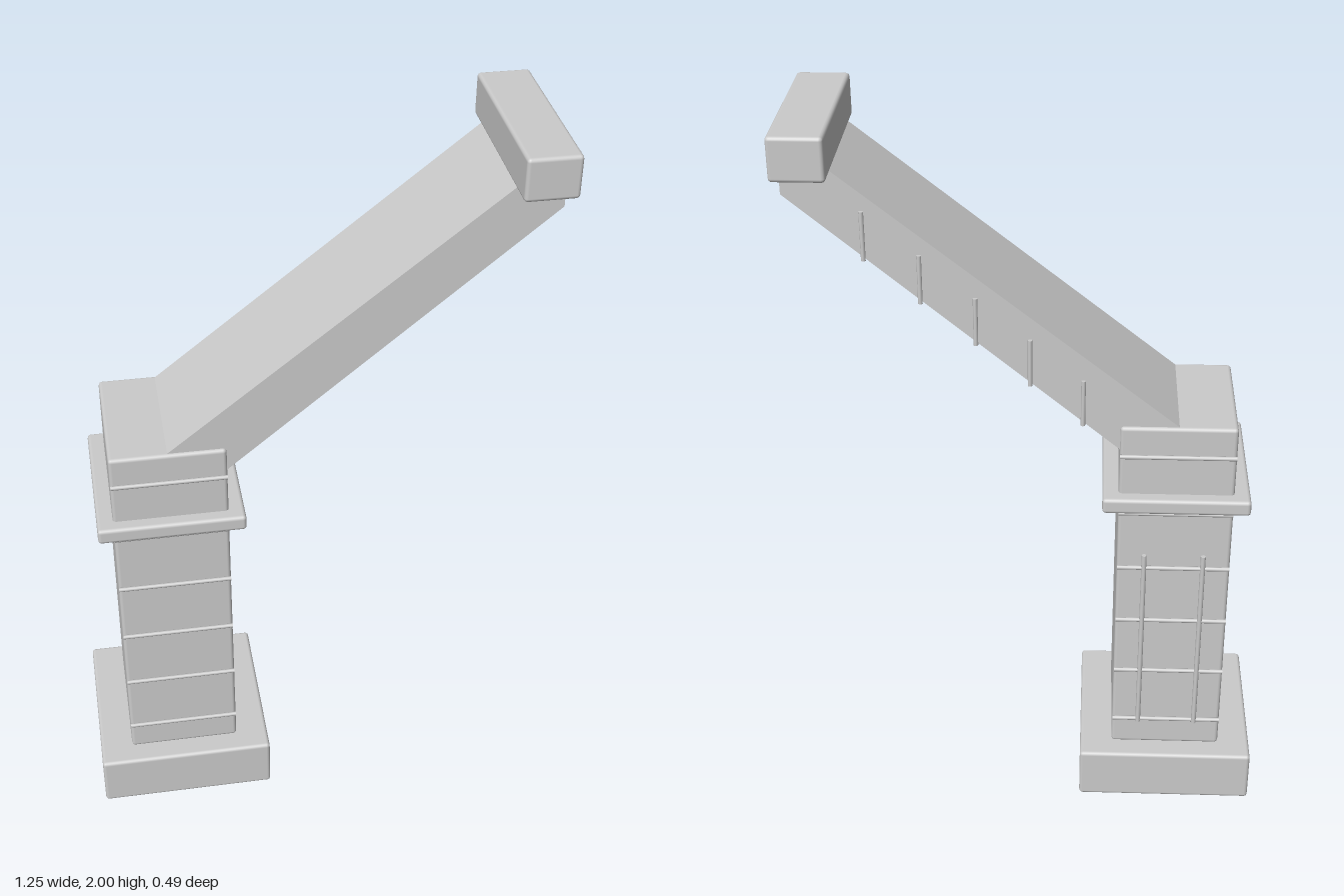
import * as THREE from 'three';
import { RoundedBoxGeometry } from 'three/addons/geometries/RoundedBoxGeometry.js';

export function createModel() {
  const model = new THREE.Group();
  model.name = 'brokenArchPillar';
  const material = new THREE.MeshStandardMaterial({ color: 0xcccccc });
  const columnX = -0.384;

  const add = (name, geometry, x, y, z) => {
    const mesh = new THREE.Mesh(geometry, material);
    mesh.name = name;
    mesh.position.set(x, y, z);
    model.add(mesh);
    return mesh;
  };
  // Block with softened edges, given its bottom and top heights
  const block = (name, x, y0, y1, w, d) =>
    add(name, new RoundedBoxGeometry(w, y1 - y0, d, 2, 0.01), x, (y0 + y1) / 2, 0);
  // Thin round rod, upright by default
  const rod = (name, length, x, y, z, radius = 0.006) =>
    add(name, new THREE.CylinderGeometry(radius, radius, length, 8), x, y, z);

  // Stacked column
  block('plinth', columnX, 0, 0.152, 0.49, 0.494);
  block('column', columnX, 0.15, 1.2, 0.308, 0.37);
  block('collar', columnX, 0.956, 1.0, 0.394, 0.442);

  // Horizontal seams on the front and back faces
  for (let i = 0; i < 6; i++) {
    for (const side of [1, -1]) {
      const seam = rod(side > 0 ? 'frontSeam' : 'backSeam', 0.306, columnX, 0.24 + i * 0.175, side * 0.189);
      seam.rotation.z = Math.PI / 2;
    }
  }

  // Upright rods on the back face
  for (const side of [1, -1]) rod('backUpright', 0.575, columnX + side * 0.08, 0.52, -0.192, 0.007);

  // Sloping arm, its lower end sunk in the column
  const profile = new THREE.Shape([
    [-0.45, 1.148], [-0.384, 1.2], [0.49, 1.893], [0.612, 1.893], [0.612, 1.83], [-0.23, 1.13], [-0.25, 1.113],
  ].reverse().map(([x, y]) => new THREE.Vector2(x, y)));
  add('arm', new THREE.ExtrudeGeometry(profile, { depth: 0.352, bevelEnabled: false }), 0, 0, -0.176);

  // Short ribs along the back of the arm
  for (let i = 0; i < 5; i++) {
    const x = -0.132 + i * 0.1373;
    rod('armRib', 0.13, x, 1.378 + x * 0.831, -0.18);
  }

  // Crossblock at the end of the arm
  block('crossblock', 0.557, 1.886, 2, 0.138, 0.494);

  return model;
}
